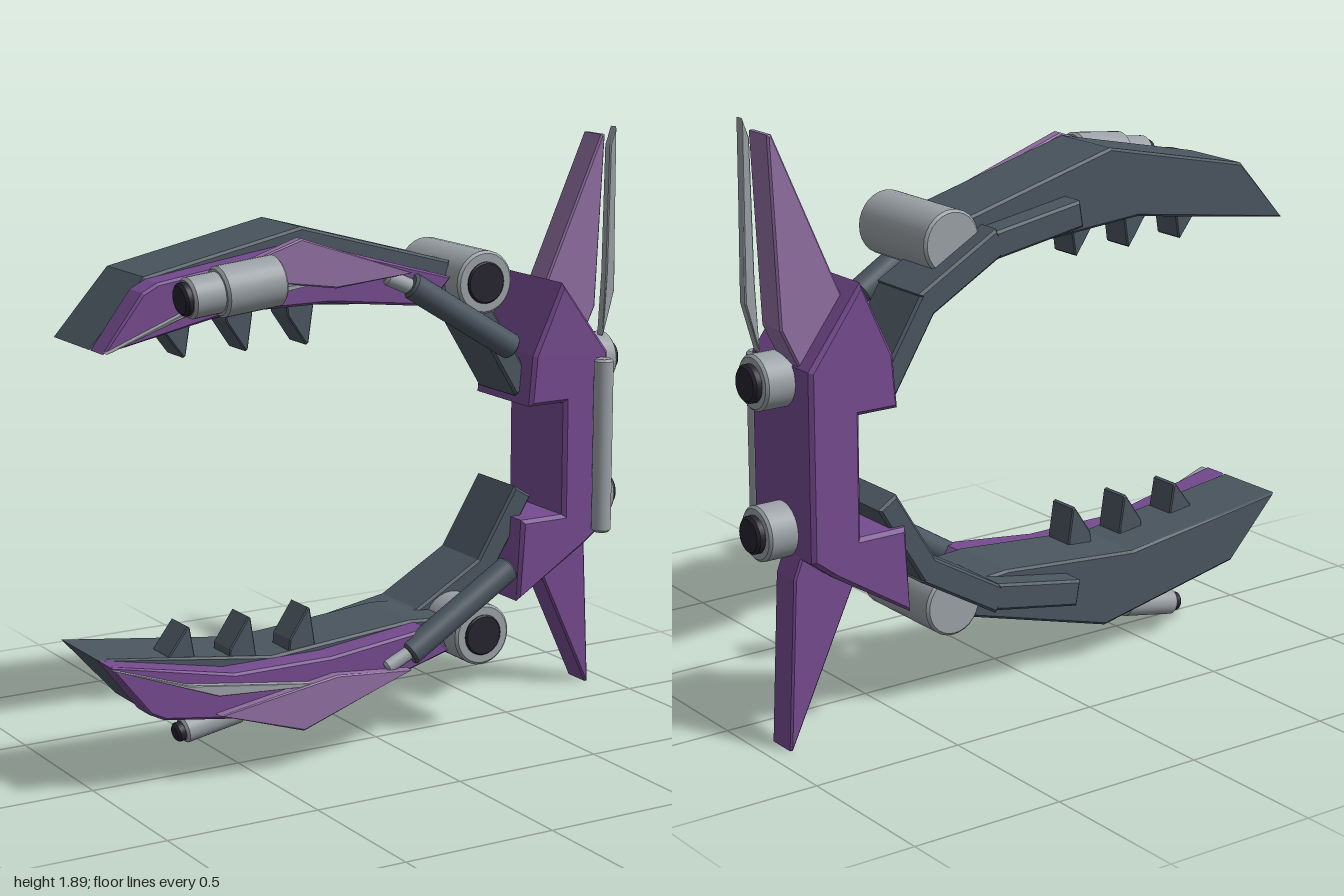
import * as THREE from 'three';

const mat = (name, color) => {
  const m = new THREE.MeshStandardMaterial({ color });
  m.name = name;
  return m;
};

export function createModel() {
  const purple = mat('purple paint', 0x754b8f);
  const lilac = mat('light purple paint', 0x906fa2);
  const slate = mat('dark slate metal', 0x4b5660);
  const steel = mat('light steel', 0x9ba1a6);
  const black = mat('black', 0x25232d);
  const root = new THREE.Group();
  root.name = 'clawDevice';

  const add = (parent, name, geo, material) => {
    const mesh = new THREE.Mesh(geo, material);
    mesh.name = name;
    parent.add(mesh);
    return mesh;
  };

  // Flat outline in x/y, extruded from z0 to z1 with a small bevel
  const plate = (parent, name, pts, z0, z1, material, bevel = 0.008) => {
    const shape = new THREE.Shape(pts.map(([x, y]) => new THREE.Vector2(x, y)));
    const geo = new THREE.ExtrudeGeometry(shape, {
      depth: z1 - z0 - 2 * bevel, bevelEnabled: bevel > 0, bevelThickness: bevel,
      bevelSize: bevel, bevelOffset: -bevel, bevelSegments: 1,
    });
    geo.translate(0, 0, z0 + bevel);
    return add(parent, name, geo, material);
  };

  // Cylinder with chamfered rims running from point a to point b
  const rod = (parent, name, a, b, r, material) => {
    const A = new THREE.Vector3(...a), B = new THREE.Vector3(...b);
    const len = A.distanceTo(B), c = Math.min(0.008, len / 4);
    const profile = [[0, 0], [r - c, 0], [r - c, 0], [r, c], [r, c], [r, len - c], [r, len - c], [r - c, len], [r - c, len], [0, len]];
    const geo = new THREE.LatheGeometry(profile.map(([x, y]) => new THREE.Vector2(x, y)), 28);
    const mesh = add(parent, name, geo, material);
    mesh.position.copy(A);
    mesh.quaternion.setFromUnitVectors(new THREE.Vector3(0, 1, 0), B.sub(A).normalize());
    return mesh;
  };

  // Jaws: the lower one mirrors the upper one about y = 0.9
  for (const side of ['upper', 'lower']) {
    const jaw = new THREE.Group();
    jaw.name = side + 'Jaw';
    root.add(jaw);
    const Y = (y) => (side === 'upper' ? y : 1.8 - y);
    const M = (pts) => pts.map(([x, y]) => [x, Y(y)]);
    const P = (x, y, z) => [x, Y(y), z];

    plate(jaw, 'jawHull', M([[-1, 1.37], [-0.82, 1.57], [-0.29, 1.68], [0.24, 1.535],
      [0.24, 1.42], [0.1, 1.41], [-0.4, 1.45]]), -0.21, 0.05, slate);
    plate(jaw, 'jawArmour', M([[-1, 1.37], [-0.87, 1.54], [-0.82, 1.565], [-0.3, 1.64],
      [0.19, 1.5], [0.11, 1.415], [-0.24, 1.455], [-0.58, 1.455]]), 0.045, 0.14, purple);
    plate(jaw, 'accentPlate', M([[-0.65, 1.57], [-0.36, 1.665], [0.03, 1.53], [-0.24, 1.505]]),
      0.135, 0.175, lilac, 0.005);
    plate(jaw, 'bladeInlay', M([[-1, 1.375], [-0.65, 1.51], [-0.22, 1.535], [-0.75, 1.46]]),
      0.135, 0.166, steel, 0.003);

    // Teeth along the inner edge
    [[-0.71, 0], [-0.5, 0.01], [-0.29, 0.01]].forEach(([x, dy], i) =>
      plate(jaw, 'tooth' + (i + 1), M([[x - 0.05, 1.46], [x - 0.045, 1.4 + dy], [x + 0.02, 1.315],
        [x + 0.028, 1.32], [x + 0.045, 1.42 + dy], [x + 0.045, 1.46]]), -0.07, 0.04, slate, 0.004));

    // Hinge drum
    rod(jaw, 'hingeDrum', P(0.32, 1.47, -0.23), P(0.32, 1.47, 0.13), 0.1, steel);
    rod(jaw, 'hingeCap', P(0.32, 1.47, 0.12), P(0.32, 1.47, 0.138), 0.066, black);

    // Piston
    rod(jaw, 'pistonSleeve', P(0.037, 1.49, 0.135), P(0.417, 1.257, 0.135), 0.042, slate);
    rod(jaw, 'pistonRod', P(-0.05, 1.522, 0.135), P(0.08, 1.464, 0.135), 0.025, steel);

    // Jointed rear arm
    const link = (name, [ax, ay], [bx, by], w) => {
      const d = Math.hypot(bx - ax, by - ay);
      const nx = -(by - ay) / d * w / 2, ny = (bx - ax) / d * w / 2;
      plate(jaw, name, M([[ax + nx, ay + ny], [ax - nx, ay - ny], [bx - nx, by - ny], [bx + nx, by + ny]]),
        -0.29, -0.06, slate);
    };
    link('armTail', [-0.12, 1.51], [0.2, 1.455], 0.085);
    link('armMiddle', [0.18, 1.47], [0.46, 1.31], 0.085);
    link('armRoot', [0.44, 1.33], [0.6, 1.07], 0.075);
  }

  // Spine
  plate(root, 'spine', [[0.7, 1.42], [0.88, 1.18], [0.88, 0.6], [0.8, 0.54], [0.535, 0.38],
    [0.55, 0.65], [0.71, 0.65], [0.71, 1.025], [0.575, 1.025], [0.59, 1.19]], -0.315, 0.012, purple, 0.012);

  // Fins
  plate(root, 'upperFin', [[0.71, 1.34], [0.95, 1.87], [0.965, 1.87], [0.935, 1.3], [0.87, 1.17], [0.75, 1.17]],
    -0.25, -0.145, lilac, 0.006);
  plate(root, 'lowerFin', [[0.69, 0.5], [0.92, 0.005], [0.93, 0.005], [0.905, 0.54], [0.87, 0.63], [0.75, 0.63]],
    -0.25, -0.145, purple, 0.006);
  plate(root, 'finBlade', [[0.97, 1.9], [0.975, 1.36], [0.93, 1.21], [0.94, 1.42], [0.947, 1.84]],
    -0.125, -0.092, steel, 0.004);

  // Handle rail
  rod(root, 'rail', [0.84, 0.585, 0.042], [0.84, 1.165, 0.042], 0.032, steel);

  // Thrusters
  for (const y of [1.13, 0.67]) {
    rod(root, 'thruster', [0.8, y, -0.15], [0.975, y, -0.15], 0.085, steel);
    rod(root, 'thrusterCap', [0.96, y, -0.15], [1, y, -0.15], 0.058, black);
  }

  // Side cannon on the upper jaw
  rod(root, 'cannonBody', [-0.48, 1.56, 0.237], [-0.68, 1.54, 0.237], 0.077, steel);
  rod(root, 'cannonBarrel', [-0.67, 1.541, 0.237], [-0.78, 1.53, 0.237], 0.062, steel);
  rod(root, 'cannonMuzzle', [-0.77, 1.531, 0.237], [-0.802, 1.527, 0.237], 0.05, black);

  // Small cannon under the lower jaw
  rod(root, 'smallCannonBody', [-0.43, 0.137, -0.12], [-0.635, 0.1, -0.12], 0.042, steel);
  rod(root, 'smallCannonMuzzle', [-0.625, 0.102, -0.12], [-0.66, 0.095, -0.12], 0.031, black);

  return root;
}
